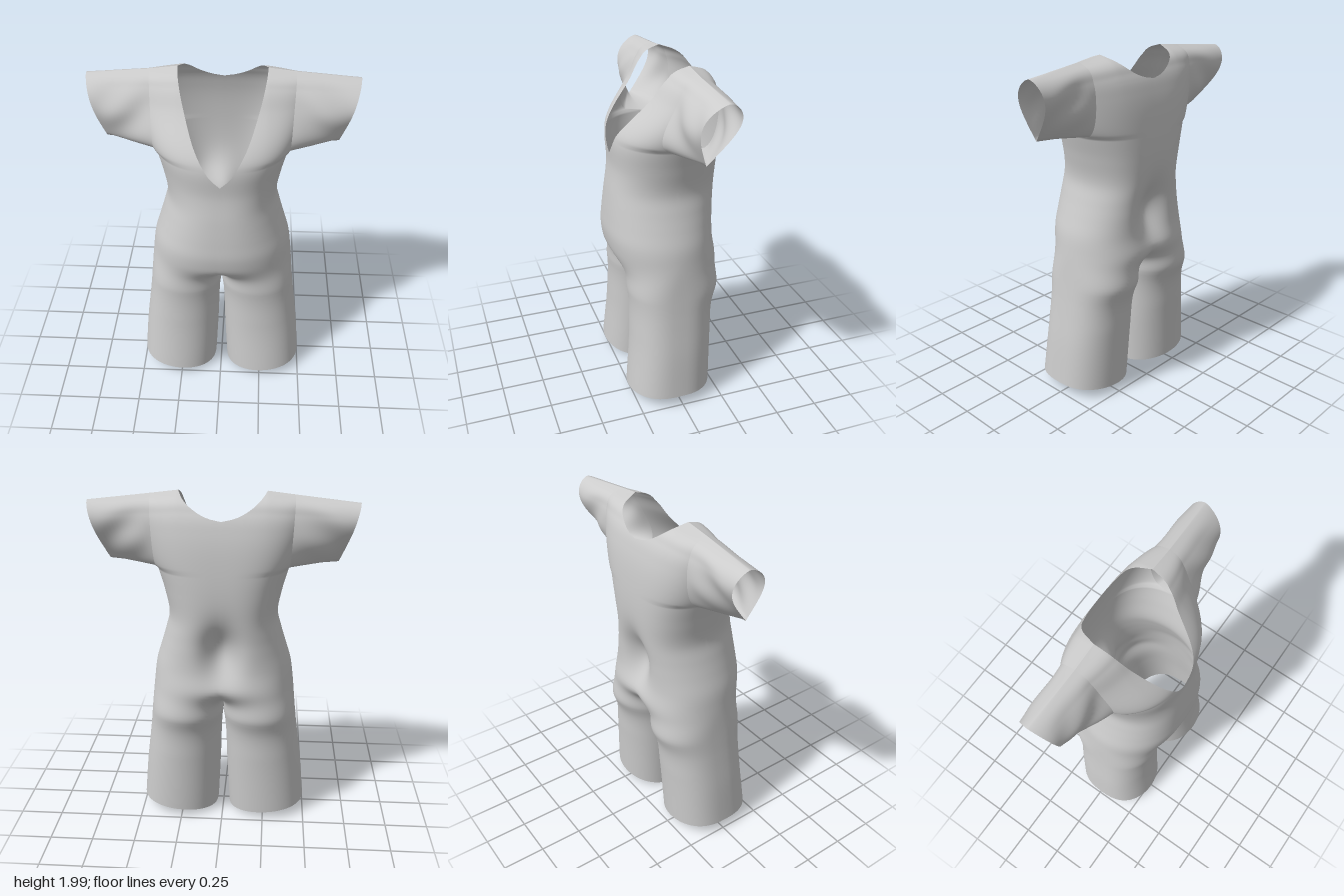
import * as THREE from 'three';

// smooth curve through [y, value] pairs
function curve(...pairs) {
  const f = new THREE.CubicInterpolant(pairs.map(p => p[0]), pairs.map(p => p[1]), 1, new Float32Array(1));
  return y => f.evaluate(y)[0];
}
const clamp = THREE.MathUtils.clamp, lerp = THREE.MathUtils.lerp;
const CROTCH = 0.68, VNECK = 1.48, ARMPIT = 1.58, TOP = 2;

// garment outline by height
const halfWidth = curve([0, 0.5], [0.3, 0.475], [0.5, 0.452], [0.7, 0.43], [0.9, 0.41], [1, 0.395],
  [1.1, 0.365], [1.2, 0.335], [1.3, 0.312], [1.45, 0.335], [1.58, 0.37]);
const frontZ = curve([0, 0.27], [0.4, 0.24], [0.7, 0.245], [0.85, 0.29], [1, 0.315], [1.1, 0.31], [1.25, 0.295],
  [1.4, 0.275], [1.6, 0.27], [1.66, 0.24], [1.83, 0.1], [1.93, 0.03], [1.98, -0.03], [2, -0.1]);
const backZ = curve([0, -0.23], [0.4, -0.245], [0.6, -0.26], [0.72, -0.3], [0.85, -0.312], [1, -0.29],
  [1.15, -0.295], [1.3, -0.308], [1.6, -0.31], [1.8, -0.285], [1.9, -0.25], [1.97, -0.19], [2, -0.1]);
const seamZ = curve([0, 0.02], [0.7, 0], [1.58, -0.04], [2, -0.1]);
const legInner = curve([0, 0.036], [0.3, 0.022], [0.6, 0.01], [CROTCH, 0]);
const vNeck = curve([1.48, 0], [1.53, 0.05], [1.61, 0.1], [1.7, 0.148], [1.85, 0.203], [2, 0.24]);

const armT = y => clamp((y - ARMPIT) / (TOP - ARMPIT), 0, 1);

// point of the left half; s runs from the middle or neckline to the side seam
function bodyPoint(y, s, back) {
  const u = armT(y), zc = seamZ(y), depth = (back ? backZ(y) : frontZ(y)) - zc;
  const edge = y > ARMPIT ? 0.37 + 0.02 * u : halfWidth(y);
  const W = edge + 0.1 * Math.sqrt(u);
  let neck = 0;
  if (back && y > 1.87) neck = 0.24 * Math.sqrt((y - 1.87) / 0.13);
  if (!back && y > VNECK) neck = vNeck(y);
  let x = neck + (edge - neck) * Math.sin(s * Math.PI / 2);
  let z = zc + depth * Math.sqrt(Math.max(0, 1 - (x / W) ** (back ? 3.2 : 2.5)));
  // hollow of the lower back
  if (back) z += 0.09 * Math.exp(-((x / 0.1) ** 2) - ((y - 1.12) / 0.16) ** 2);
  // body section closes into a separate ring for the leg
  const k = (1 - THREE.MathUtils.smoothstep(y, CROTCH, 0.93)) ** 1.4;
  if (k > 0) {
    const xi = y < CROTCH ? legInner(y) : 0;
    x = lerp(x, xi + (edge - xi) * (1 - Math.cos(Math.PI * s)) / 2, k);
    z = lerp(z, zc + depth * Math.max(0, Math.sin(Math.PI * s)) ** 0.75, k);
  }
  // slanted hem and sloping shoulder
  const hem = 0.01 + 0.065 * Math.sqrt(clamp((x - 0.036) / 0.464, 0, 1));
  y += hem * Math.max(0, 1 - y / 0.6) - 0.06 * u * clamp((x - 0.24) / 0.5, 0, 1);
  return [x, y, z];
}

// point of the sleeve; t runs from armhole to cuff
function sleevePoint(y, t, back) {
  const u = armT(y), a = bodyPoint(y, 1, back);
  const h = 0.1 * Math.max(0, Math.sin(Math.PI * u ** 1.6)) ** 0.62;
  const cuff = [0.64 + 0.095 * u, 1.605 + 0.34 * u, lerp(-0.04, -0.115, u) + (back ? -h : h)];
  const p = a.map((v, i) => lerp(v, cuff[i], t));
  // soft folds running out from the armpit
  p[2] += 0.012 * Math.sin(Math.PI * t) * Math.sin(Math.PI * u) * Math.sin(9 * u + 5 * t);
  return p;
}

export function createModel() {
  const group = new THREE.Group();
  const positions = [], known = new Map();

  // welded vertices keep the shading smooth across the seams
  function vertex(p) {
    const key = p.map(v => Math.round(v * 1e4)).join();
    if (!known.has(key)) {
      known.set(key, positions.length / 3);
      positions.push(...p);
    }
    return known.get(key);
  }

  function sheet(index, rows, columns, point, back, side) {
    const grid = rows.map(y => Array.from({ length: columns + 1 }, (_, i) => {
      const p = point(y, i / columns, back);
      return vertex([p[0] * side, p[1], p[2]]);
    }));
    const flip = back !== (side < 0);
    const tri = (a, b, c) => {
      if (a !== b && b !== c && a !== c) index.push(a, ...(flip ? [c, b] : [b, c]));
    };
    for (let r = 0; r < rows.length - 1; r++) {
      for (let i = 0; i < columns; i++) {
        const [a, b, c, d] = [grid[r][i], grid[r][i + 1], grid[r + 1][i + 1], grid[r + 1][i]];
        tri(a, b, c);
        tri(a, c, d);
      }
    }
  }

  const span = (from, to, n, ease = t => t) =>
    Array.from({ length: n + 1 }, (_, i) => lerp(from, to, ease(i / n)));
  const legRows = span(0, CROTCH, 26);
  const armRows = span(ARMPIT, TOP, 44, t => Math.sin(t * Math.PI / 2));
  const bodyRows = [...span(CROTCH, VNECK, 44), ...span(VNECK, ARMPIT, 10).slice(1), ...armRows.slice(1)];

  const parts = {};
  for (const [name, side] of [['left', 1], ['right', -1]]) {
    const leg = parts[name + 'Leg'] = [], sleeve = parts[name + 'Sleeve'] = [];
    const body = parts.bodice ??= [];
    for (const back of [false, true]) {
      sheet(leg, legRows, 32, bodyPoint, back, side);
      sheet(body, bodyRows, 32, bodyPoint, back, side);
      sheet(sleeve, armRows, 14, sleevePoint, back, side);
    }
  }

  // shared normals for the whole garment, then one mesh per part
  const whole = new THREE.BufferGeometry();
  whole.setAttribute('position', new THREE.Float32BufferAttribute(positions, 3));
  whole.setIndex(Object.values(parts).flat());
  whole.computeVertexNormals();
  const cloth = new THREE.MeshStandardMaterial({ color: 0xcccccc, side: THREE.DoubleSide });
  for (const [name, index] of Object.entries(parts)) {
    const geometry = new THREE.BufferGeometry();
    geometry.setAttribute('position', whole.attributes.position);
    geometry.setAttribute('normal', whole.attributes.normal);
    geometry.setIndex(index);
    const mesh = new THREE.Mesh(geometry, cloth);
    mesh.name = name;
    group.add(mesh);
  }
  return group;
}
